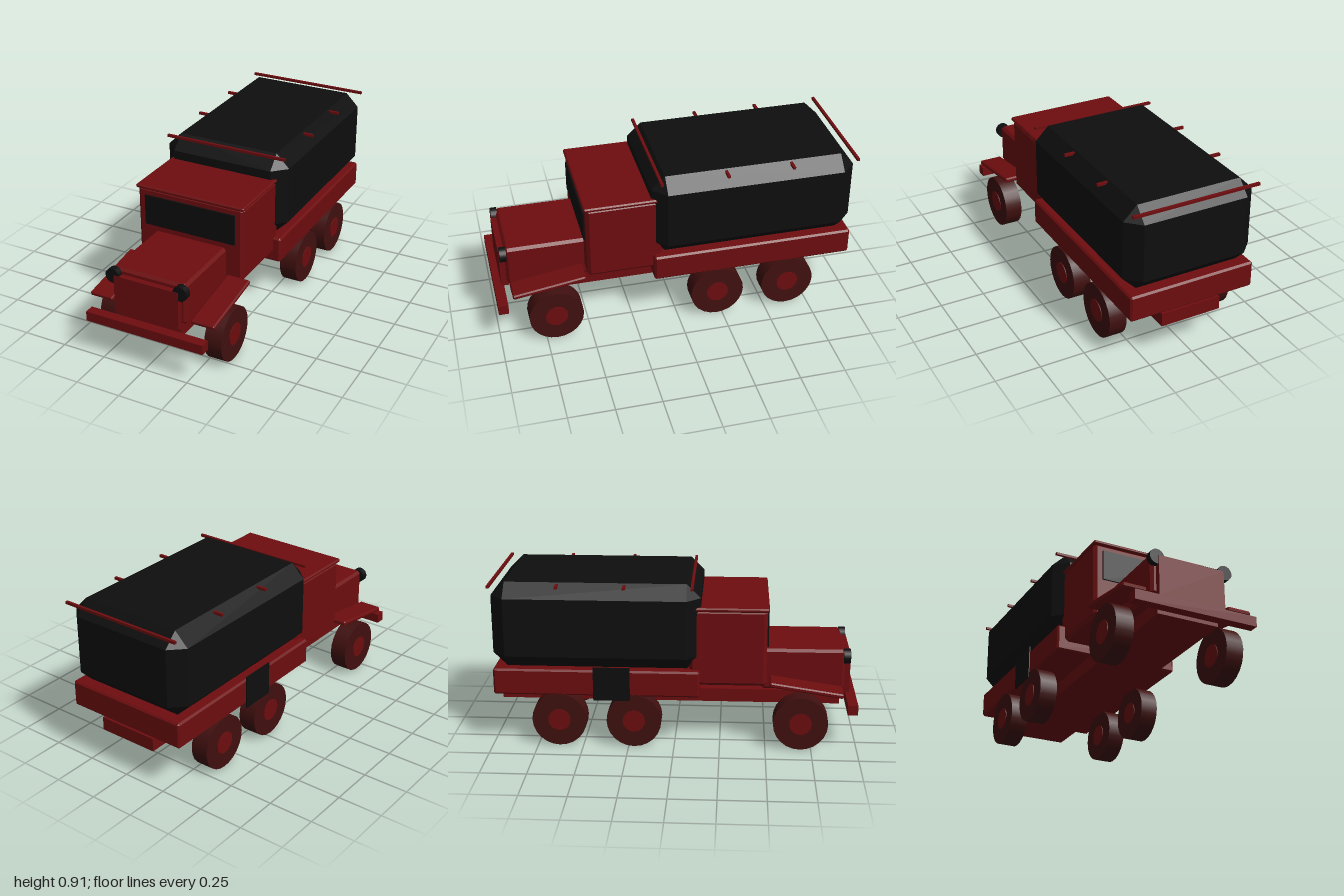
import * as THREE from 'three';
import { ConvexGeometry } from 'three/addons/geometries/ConvexGeometry.js';

const mat = (name, color) => {
  const m = new THREE.MeshStandardMaterial({ color });
  m.name = name;
  return m;
};

// Box with every edge cut by a flat chamfer c
function chamferBox(w, h, d, c) {
  const [x, y, z] = [w / 2, h / 2, d / 2];
  const pts = [];
  for (const sx of [-1, 1]) for (const sy of [-1, 1]) for (const sz of [-1, 1]) {
    pts.push(new THREE.Vector3(sx * x, sy * (y - c), sz * (z - c)));
    pts.push(new THREE.Vector3(sx * (x - c), sy * y, sz * (z - c)));
    pts.push(new THREE.Vector3(sx * (x - c), sy * (y - c), sz * z));
  }
  return new ConvexGeometry(pts);
}

export function createModel() {
  const red = mat('bodyRed', 0x6e0d0f);
  const black = mat('canvasBlack', 0x0e0e0e);
  const tyreMat = mat('tyreBrown', 0x40100f);
  const truck = new THREE.Group();
  truck.name = 'truck';

  const add = (name, geo, material, x, y, z, parent = truck) => {
    const m = new THREE.Mesh(geo, material);
    m.name = name;
    m.position.set(x, y, z);
    parent.add(m);
    return m;
  };
  // Block given by its limits; c > 0 chamfers the edges
  const block = (name, material, [x0, x1], [y0, y1], [z0, z1], c = 0) => {
    const s = [x1 - x0, y1 - y0, z1 - z0];
    const geo = c ? chamferBox(...s, c) : new THREE.BoxGeometry(...s);
    return add(name, geo, material, (x0 + x1) / 2, (y0 + y1) / 2, (z0 + z1) / 2);
  };

  // Frame and bumper
  block('chassis', red, [-0.172, 0.172], [0.2, 0.275], [-0.975, 0.91]);
  block('bumper', red, [-0.345, 0.345], [0.2, 0.255], [0.945, 1]);

  // Bonnet and radiator
  block('bonnet', red, [-0.215, 0.215], [0.295, 0.527], [0.475, 0.93], 0.015);
  block('radiator', red, [-0.188, 0.188], [0.275, 0.495], [0.92, 0.962]);

  // Cab, roof and windscreen
  block('cab', red, [-0.316, 0.316], [0.345, 0.775], [0.08, 0.5], 0.018);
  block('cabRoof', red, [-0.322, 0.322], [0.765, 0.787], [0.08, 0.51], 0.007);
  block('windscreen', black, [-0.268, 0.268], [0.56, 0.732], [0.5, 0.509]);

  // Cargo bed and its canvas cover
  block('cargoBed', red, [-0.36, 0.36], [0.29, 0.437], [-0.988, 0.137], 0.01);
  block('canopy', black, [-0.37, 0.37], [0.437, 0.912], [-0.992, 0.142], 0.076);

  // Cross bars over the cover
  for (let i = 0; i < 4; i++) {
    add('coverBar', new THREE.BoxGeometry(0.72, 0.014, 0.015), red, 0, 0.898, -0.9925 + i * 0.3625);
  }

  // Panel on the right side of the bed
  block('sidePanel', black, [-0.368, -0.362], [0.268, 0.457], [-0.44, -0.24]);

  // Sloping front mudguards and headlamps
  const guardGeo = chamferBox(0.136, 0.026, 0.405, 0.007);
  const lampGeo = new THREE.CylinderGeometry(0.041, 0.041, 0.036, 20).rotateX(Math.PI / 2);
  for (const s of [-1, 1]) {
    add('mudguard', guardGeo, red, s * 0.3, 0.344, 0.718).rotation.x = 0.15;
    add('headlamp', lampGeo, black, s * 0.196, 0.489, 0.941);
  }

  // Six wheels
  const tyreGeo = new THREE.CylinderGeometry(0.15, 0.15, 0.099, 24).rotateZ(Math.PI / 2);
  const hubGeo = new THREE.CylinderGeometry(0.062, 0.062, 0.106, 16).rotateZ(Math.PI / 2);
  for (const z of [0.69, -0.22, -0.63]) for (const s of [-1, 1]) {
    const wheel = new THREE.Group();
    wheel.name = 'wheel';
    wheel.position.set(s * 0.315, 0.15, z);
    add('tyre', tyreGeo, tyreMat, 0, 0, 0, wheel);
    add('hub', hubGeo, red, 0, 0, 0, wheel);
    truck.add(wheel);
  }
  return truck;
}
